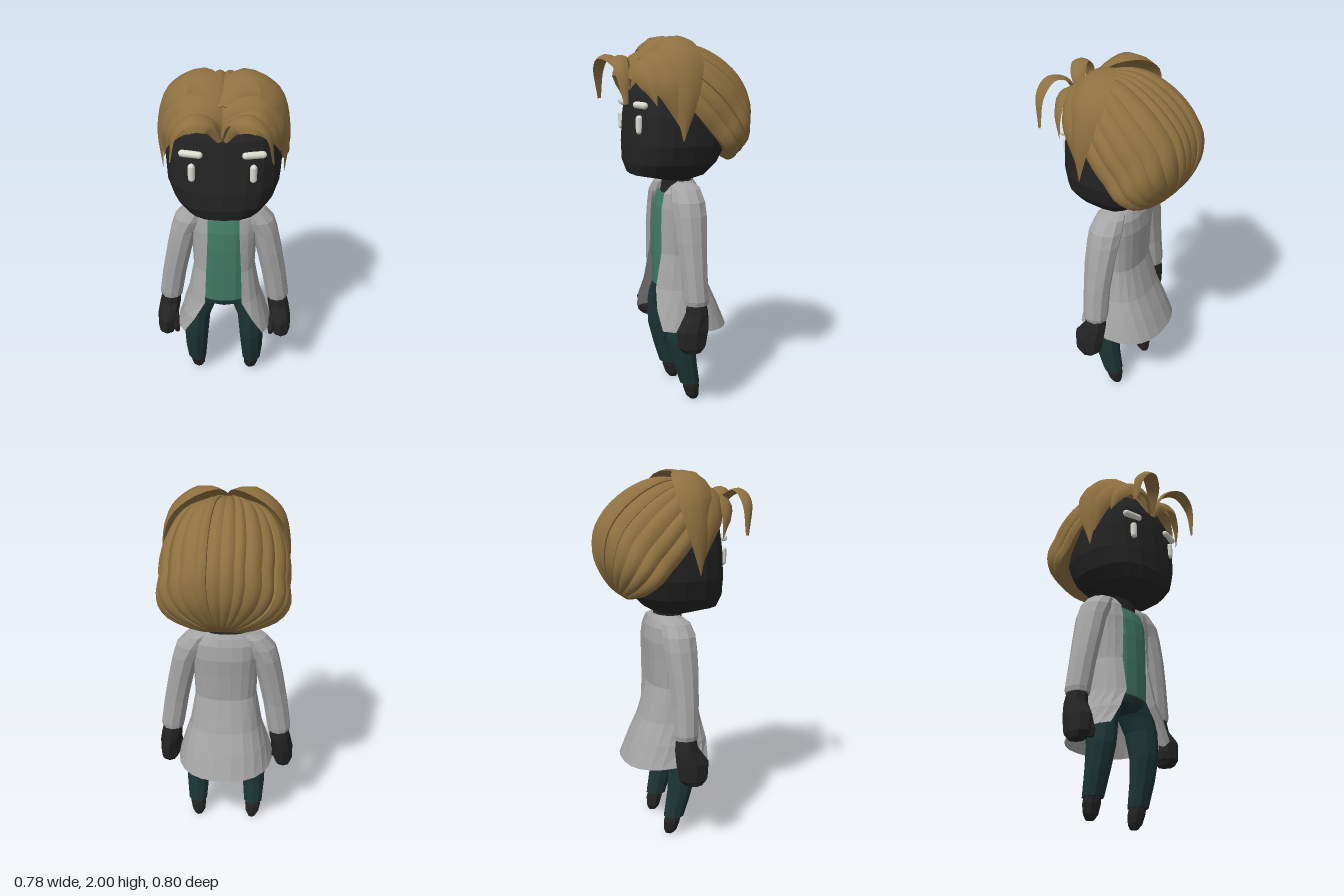
import * as THREE from 'three';
import { toCreasedNormals } from 'three/addons/utils/BufferGeometryUtils.js';

const HAIR = 0x8f7140, SKIN = 0x242424, COAT = 0xa5a5a5, SHIRT = 0x417a65, TROUSERS = 0x1d3535, WHITE = 0xdcdcd2;
const V = (x, y, z) => new THREE.Vector3(x, y, z);

function mesh(name, geo, color, smooth = false, double = false) {
  const mat = new THREE.MeshStandardMaterial({ color, flatShading: !smooth });
  if (double) mat.side = THREE.DoubleSide;
  const m = new THREE.Mesh(geo, mat);
  m.name = name;
  return m;
}

// Skin a list of equal-length rings of points; closed rings get capped ends
function loft(rings, closed = true) {
  const tris = [], n = rings[0].length;
  for (let i = 0; i < rings.length - 1; i++) {
    for (let j = 0; j < (closed ? n : n - 1); j++) {
      const k = (j + 1) % n, a = rings[i], b = rings[i + 1];
      tris.push([a[j], a[k], b[k]], [a[j], b[k], b[j]]);
    }
  }
  if (closed) {
    const cap = (ring, flip) => {
      const c = ring.reduce((s, p) => s.add(p), V(0, 0, 0)).divideScalar(n);
      ring.forEach((p, j) => {
        const q = ring[(j + 1) % n];
        tris.push(flip ? [c, q, p] : [c, p, q]);
      });
    };
    cap(rings[0], true);
    cap(rings[rings.length - 1], false);
  }
  // Turn the faces outward
  const o = rings[0][0];
  const volume = tris.reduce((s, [a, b, c]) =>
    s + a.clone().sub(o).dot(b.clone().sub(o).cross(c.clone().sub(o))), 0);
  if (closed && volume < 0) tris.forEach(t => t.reverse());
  const geo = new THREE.BufferGeometry().setFromPoints(tris.flat());
  geo.computeVertexNormals();
  return geo;
}

const spow = (v, p) => Math.sign(v) * Math.abs(v) ** p;

// Horizontal rounded ring; a front opening (half-width) leaves it open
function ring(y, cx, rx, zf, zb, n, e = 2, open = 0) {
  const t0 = open ? Math.asin((open / rx) ** (e / 2)) : 0;
  const cz = open || e > 2 ? 0 : (zf + zb) / 2;
  return Array.from({ length: n }, (_, i) => {
    const t = open ? t0 + (2 * Math.PI - 2 * t0) * i / (n - 1) : 2 * Math.PI * i / n;
    const c = spow(Math.cos(t), 2 / e);
    return V(cx + rx * spow(Math.sin(t), 2 / e), y, cz + c * (c > 0 ? zf - cz : cz - zb));
  });
}

// Limb from rows of [y, centre x, half width, half depth, centre z]
const limb = (rows, side, n = 8) => loft(rows.map(([y, cx, rx, rz, cz = 0]) =>
  ring(y, side * cx, rx, cz + rz, cz - rz, n)));

// Torso-like body from rows of [y, half width, front z, back z]
const body = (rows, n, e) => loft(rows.map(([y, rx, zf, zb]) => ring(y, 0, rx, zf, zb, n, e)));

// Lens-shaped lock of hair along a curve, its broad face turned away from the hub
function lock(points, widths, hub, side) {
  const curve = new THREE.CatmullRomCurve3(points.map(([x, y, z]) => V(side * x, y, z)));
  const rings = [], steps = 22, centre = V(side * hub[0], hub[1], hub[2]);
  for (let i = 0; i <= steps; i++) {
    const t = i / steps, f = t * (widths.length - 1), k = Math.min(Math.floor(f), widths.length - 2);
    const w = Math.max(THREE.MathUtils.lerp(widths[k], widths[k + 1], f - k), 0.002);
    const p = curve.getPoint(t), T = curve.getTangent(t);
    const W = T.clone().cross(p.clone().sub(centre)).normalize();
    const N = W.clone().cross(T);
    rings.push([[-1, 0], [-0.6, 0.25], [0, 0.4], [0.6, 0.25], [1, 0], [0, -0.05]].map(([u, v]) =>
      p.clone().addScaledVector(W, u * w).addScaledVector(N, v * w)));
  }
  return toCreasedNormals(loft(rings), 0.7);
}

// Swept-back strands: slices of a shell turned around an axis from forehead to nape
function backHair() {
  const g = new THREE.Group();
  g.name = 'backHair';
  const profile = new THREE.SplineCurve([[-0.42, 0.06], [-0.35, 0.185], [-0.27, 0.26], [-0.14, 0.315], [0, 0.332],
    [0.12, 0.305], [0.22, 0.225], [0.275, 0.13], [0.295, 0.07]].map(([s, u]) => new THREE.Vector2(s, u))).getPoints(22);
  const axis = V(0, -0.75, -0.66), up = V(0, 0.66, -0.75), centre = V(0, 1.57, -0.075);
  // The shell broadens sideways toward the nape
  const at = (s, u, a) => centre.clone().addScaledVector(axis, s).addScaledVector(up, u * Math.cos(a))
    .add(V((1 + 1.7 * Math.max(0, s - 0.06)) * u * Math.sin(a), 0, 0));
  const edges = [0, 0.2, 0.36, 0.64, 0.9, 1.16, 1.4, 1.66];
  for (const side of [1, -1]) {
    for (let i = 0; i < edges.length - 1; i++) {
      const a0 = edges[i], a1 = edges[i + 1], lift = [0, 0.012, 0.004][i % 3];
      const rings = profile.map(({ x: s, y: u }) => [[0, 0.1, 0], [0, 1, -0.006], [0.25, 1, 0.005], [0.5, 1, 0.009],
        [0.75, 1, 0.005], [1, 1, -0.006], [1, 0.1, 0]].map(([f, k, r]) =>
        at(s, u * k + (k === 1 ? (r + lift) * Math.min(1, u / 0.15) : 0), side * (a0 + (a1 - a0) * f))));
      g.add(mesh('backStrand', toCreasedNormals(loft(rings), 0.7), HAIR, true));
    }
  }
  return g;
}

export function createModel() {
  const model = new THREE.Group();
  model.name = 'figure';

  // Head and neck
  model.add(mesh('head', body([[1.25, 0.11, 0.1, -0.07], [1.285, 0.21, 0.26, -0.14], [1.35, 0.262, 0.28, -0.2],
    [1.45, 0.295, 0.28, -0.25], [1.6, 0.303, 0.268, -0.28], [1.72, 0.285, 0.252, -0.28],
    [1.82, 0.23, 0.21, -0.22], [1.88, 0.13, 0.12, -0.12]], 20, 2.6), SKIN));
  model.add(mesh('neck', body([[1.13, 0.12, 0.085, -0.08], [1.2, 0.115, 0.07, -0.08], [1.28, 0.12, 0.06, -0.08]], 10, 2), SKIN));

  // Hair: each lock has a path, half widths and the hub it curls around
  model.add(backHair());
  const locks = [
    ['crownLock', [[0.01, 1.75, 0.24], [0.05, 1.89, 0.17], [0.13, 1.953, 0.08], [0.25, 1.87, 0.055], [0.305, 1.7, 0.06], [0.31, 1.48, 0.07]],
      [0.015, 0.07, 0.11, 0.11, 0.07, 0], [0, 1.6, -0.02]],
    ['templeLock', [[0.01, 1.74, 0.25], [0.07, 1.86, 0.21], [0.18, 1.865, 0.17], [0.275, 1.75, 0.14], [0.3, 1.56, 0.09]],
      [0.015, 0.07, 0.095, 0.07, 0], [0, 1.6, -0.05]],
    ['browLock', [[0.01, 1.73, 0.25], [0.06, 1.82, 0.26], [0.16, 1.835, 0.255], [0.24, 1.765, 0.23], [0.28, 1.66, 0.2]],
      [0.015, 0.05, 0.065, 0.045, 0], [0.08, 1.6, 0.02]],
    ['frontLock', [[0.005, 1.74, 0.26], [0.05, 1.86, 0.31], [0.13, 1.89, 0.35], [0.21, 1.83, 0.36], [0.245, 1.67, 0.35]],
      [0.015, 0.04, 0.045, 0.035, 0.01], [0.12, 1.64, 0.31]]
  ];

  for (const side of [1, -1]) {
    for (const [name, points, widths, hub] of locks) {
      model.add(mesh(name, lock(points, widths, hub, side), HAIR, true));
    }

    // Eye and brow
    const eye = mesh('eye', new THREE.CapsuleGeometry(0.018, 0.062, 4, 10), WHITE, true);
    eye.position.set(side * 0.152, 1.558, 0.253);
    const brow = mesh('brow', new THREE.CapsuleGeometry(0.018, 0.085, 4, 10), WHITE, true);
    brow.position.set(side * 0.155, 1.657, 0.247);
    brow.rotation.set(0, side * 0.2, Math.PI / 2);
    model.add(eye, brow);

    // Sleeve and hand
    model.add(mesh('sleeve', limb([[0.615, 0.305, 0.062, 0.066, -0.005], [0.64, 0.305, 0.068, 0.069, -0.005], [0.8, 0.28, 0.07, 0.074],
      [0.95, 0.25, 0.073, 0.085], [1.08, 0.218, 0.077, 0.092, -0.005], [1.15, 0.185, 0.088, 0.093, -0.005],
      [1.21, 0.145, 0.075, 0.08, -0.008], [1.235, 0.1, 0.04, 0.05, -0.015]], side, 10), COAT));
    model.add(mesh('hand', limb([[0.36, 0.337, 0.042, 0.05, 0.03], [0.39, 0.335, 0.055, 0.08, 0.03],
      [0.48, 0.33, 0.06, 0.092, 0.025], [0.56, 0.315, 0.06, 0.065, -0.005], [0.63, 0.305, 0.052, 0.055, -0.005]], side), SKIN));
    model.add(mesh('thumb', limb([[0.38, 0.275, 0.014, 0.02, 0.065], [0.42, 0.277, 0.022, 0.03, 0.065],
      [0.5, 0.29, 0.024, 0.03, 0.05], [0.55, 0.31, 0.02, 0.025, 0.02]], side, 6), SKIN));

    // Trouser leg and foot
    model.add(mesh('trouserLeg', limb([[0.11, 0.166, 0.055, 0.057, -0.025], [0.24, 0.166, 0.066, 0.068, 0.005],
      [0.37, 0.162, 0.073, 0.082, 0.025], [0.5, 0.152, 0.075, 0.098, 0.015], [0.57, 0.13, 0.08, 0.106, 0.005],
      [0.66, 0.08, 0.075, 0.1, 0]], side, 10), TROUSERS));
    model.add(mesh('foot', limb([[0.004, 0.16, 0.022, 0.022, -0.05], [0.03, 0.162, 0.038, 0.038, -0.043],
      [0.08, 0.165, 0.045, 0.048, -0.035], [0.14, 0.166, 0.042, 0.044, -0.022]], side), SKIN));
  }

  // Hips and shirt
  model.add(mesh('hips', body([[0.59, 0.09, 0.08, -0.08], [0.615, 0.15, 0.108, -0.105], [0.67, 0.145, 0.115, -0.1]], 12, 2.2), TROUSERS));
  model.add(mesh('shirt', body([[0.655, 0.15, 0.122, -0.1], [0.85, 0.145, 0.126, -0.09], [1.0, 0.148, 0.122, -0.1],
    [1.1, 0.15, 0.112, -0.1], [1.17, 0.135, 0.09, -0.085]], 16, 2.4), SHIRT));

  // Open coat, flared toward a longer back hem: [y, half width, front z, back z, opening]
  const coat = [[0.45, 0.272, 0.235, -0.275, 0.225], [0.55, 0.24, 0.205, -0.22, 0.165], [0.66, 0.205, 0.165, -0.17, 0.104],
    [0.85, 0.172, 0.13, -0.115, 0.097], [1.0, 0.178, 0.124, -0.122, 0.09], [1.1, 0.185, 0.117, -0.13, 0.086],
    [1.18, 0.185, 0.1, -0.12, 0.085], [1.22, 0.15, 0.075, -0.105, 0.1], [1.245, 0.125, 0.045, -0.09, 0.11]]
    .map(([y, rx, zf, zb, open]) => ring(y, 0, rx, zf, zb, 18, 2.4, open));
  coat[0].forEach(p => { p.y -= THREE.MathUtils.clamp(0.012 - p.z * 0.09, 0, 0.035); });
  model.add(mesh('coat', loft(coat, false), COAT, false, true));

  return model;
}
